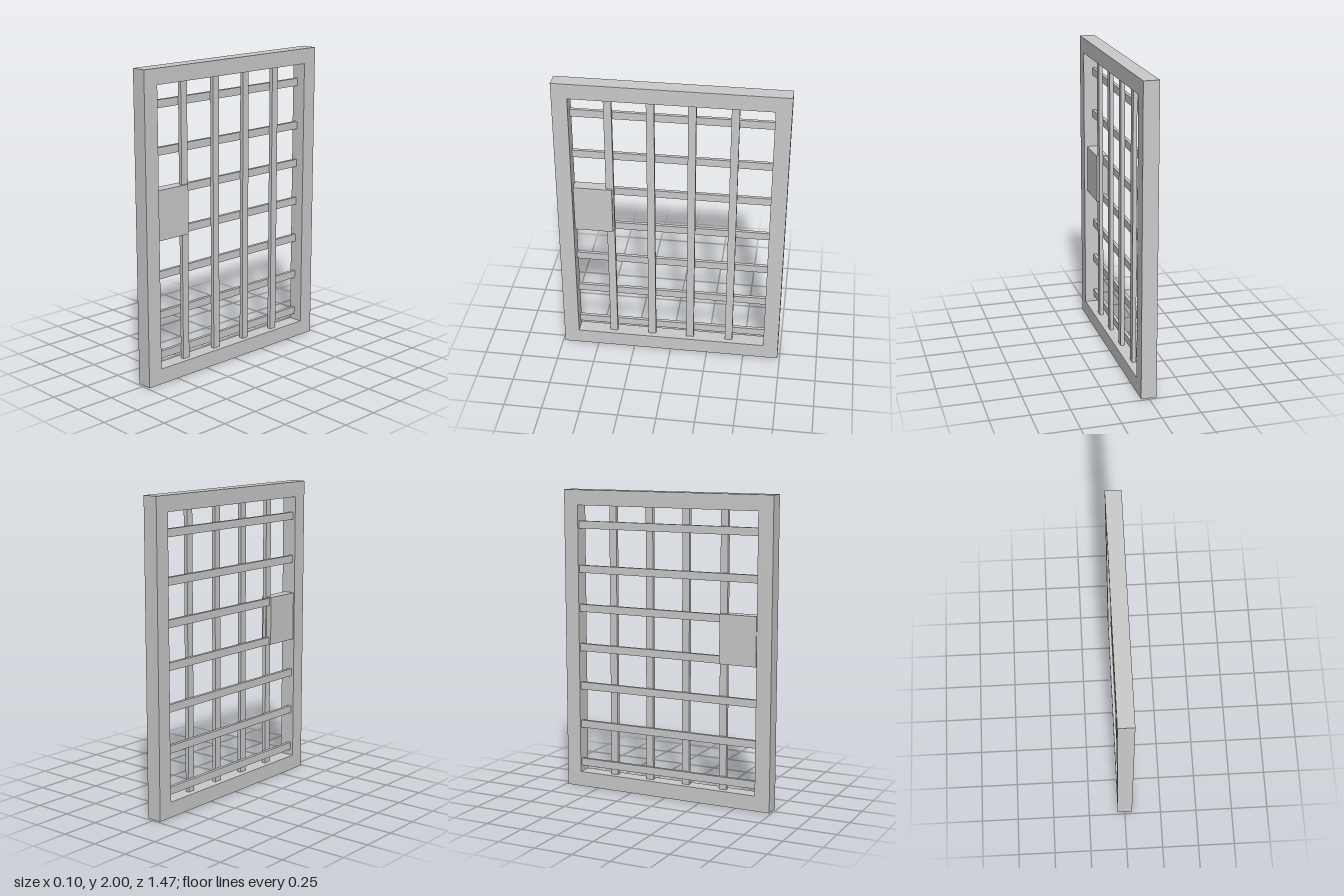
import * as THREE from 'three';

const material = new THREE.MeshStandardMaterial({ color: 0xcccccc, flatShading: true });

// Box given by its extents along each axis
function box(name, [x0, x1], [y0, y1], [z0, z1]) {
  const mesh = new THREE.Mesh(new THREE.BoxGeometry(x1 - x0, y1 - y0, z1 - z0), material);
  mesh.name = name;
  mesh.position.set((x0 + x1) / 2, (y0 + y1) / 2, (z0 + z1) / 2);
  return mesh;
}

function rectangle(path, w, y0, y1) {
  path.moveTo(-w, y0);
  path.lineTo(w, y0);
  path.lineTo(w, y1);
  path.lineTo(-w, y1);
  path.closePath();
  return path;
}

export function createModel() {
  const door = new THREE.Group();
  door.name = 'barredDoor';

  const halfWidth = 0.735, height = 2, border = 0.1, thickness = 0.1, barWidth = 0.05;
  const inner = halfWidth - border;

  // Outer frame with a rectangular opening
  const outline = rectangle(new THREE.Shape(), halfWidth, 0, height);
  outline.holes.push(rectangle(new THREE.Path(), inner, border, height - border));
  const frameGeometry = new THREE.ExtrudeGeometry(outline, { depth: thickness, bevelEnabled: false });
  frameGeometry.translate(0, 0, -thickness / 2).rotateY(Math.PI / 2);
  const frame = new THREE.Mesh(frameGeometry, material);
  frame.name = 'frame';
  door.add(frame);

  // Upright bars
  const uprights = new THREE.Group();
  uprights.name = 'verticalBars';
  for (const z of [-0.395, -0.13, 0.13, 0.395]) {
    uprights.add(box('verticalBar', [-0.01, 0.015], [border, height - border], [z - barWidth / 2, z + barWidth / 2]));
  }
  door.add(uprights);

  // Cross bars lying against the uprights
  const crossBars = new THREE.Group();
  crossBars.name = 'horizontalBars';
  for (const y of [0.165, 0.43, 0.693, 0.955, 1.22, 1.48, 1.772]) {
    crossBars.add(box('horizontalBar', [-0.032, -0.01], [y - barWidth / 2, y + barWidth / 2], [-inner, inner]));
  }
  door.add(crossBars);

  // Lock housing beside the frame
  door.add(box('lockBox', [-0.045, 0.03], [0.93, 1.25], [0.38, 0.63]));

  return door;
}
